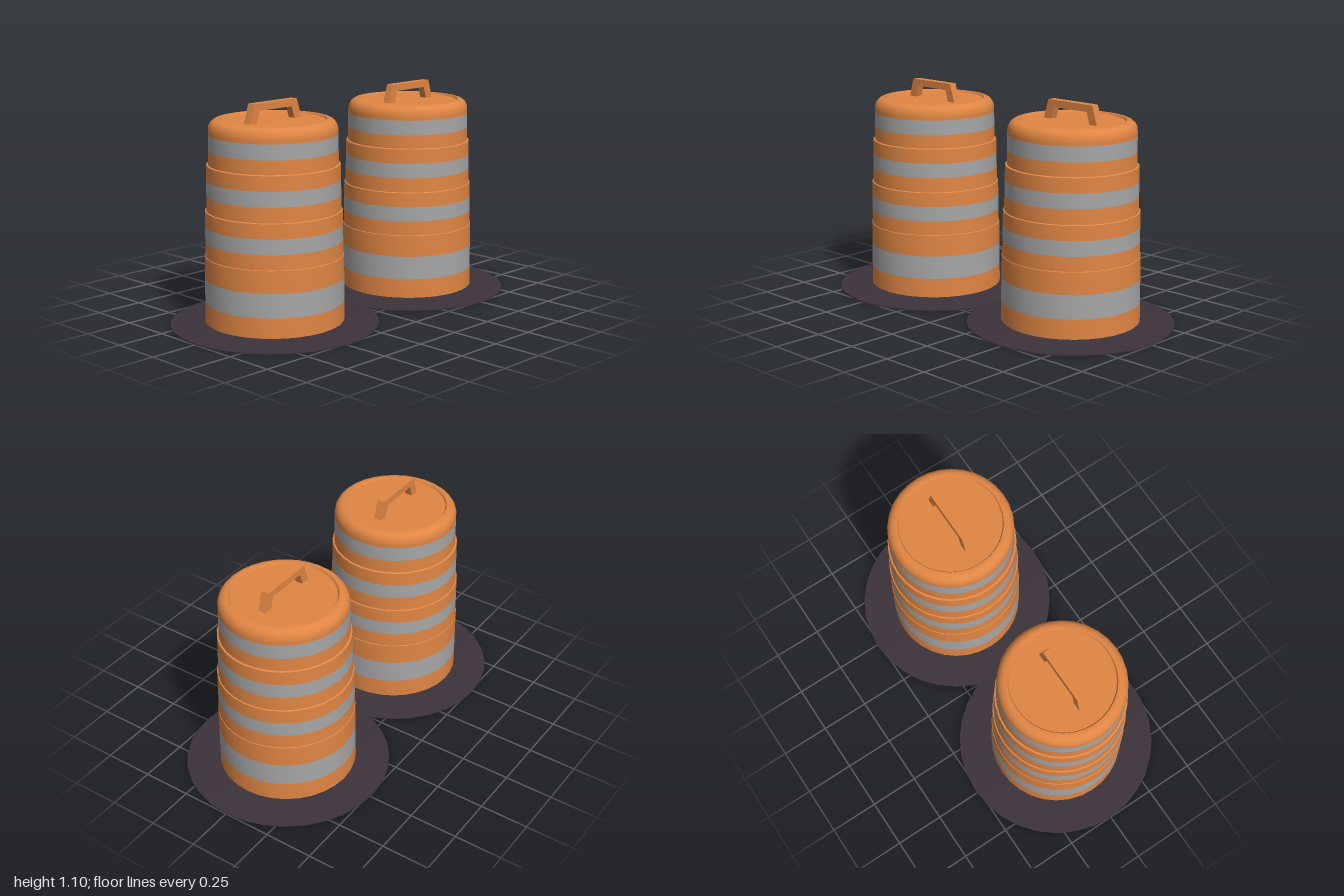
import * as THREE from 'three';
import { toCreasedNormals } from 'three/addons/utils/BufferGeometryUtils.js';

const SEGMENTS = 32;

export function createModel() {
  const orange = new THREE.MeshStandardMaterial({ color: 0xe08644 });
  orange.name = 'orange plastic';
  const grey = new THREE.MeshStandardMaterial({ color: 0xa6a6a6 });
  grey.name = 'reflective grey';
  const rubber = new THREE.MeshStandardMaterial({ color: 0x3c333a });
  rubber.name = 'dark rubber';

  // Turned part from [radius, height] pairs, listed from bottom to top
  function turned(name, profile, material) {
    const points = profile.map(([r, y]) => new THREE.Vector2(r, y));
    const geometry = toCreasedNormals(new THREE.LatheGeometry(points, SEGMENTS), 0.6);
    const mesh = new THREE.Mesh(geometry, material);
    mesh.name = name;
    return mesh;
  }

  // Stacked tiers: bottom, stripe bottom, stripe top, top, and the two radii
  const tiers = [
    { y: [0.015, 0.12, 0.24, 0.35], r: [0.344, 0.341] },
    { y: [0.35, 0.425, 0.5, 0.573], r: [0.338, 0.335] },
    { y: [0.573, 0.65, 0.725, 0.798], r: [0.329, 0.325] },
    { y: [0.798, 0.87, 0.945, 0.965], r: [0.316, 0.314] },
  ];

  function createBarrel() {
    const barrel = new THREE.Group();
    barrel.name = 'barrel';

    // Thin sloping foot with a closed underside
    barrel.add(turned('base', [[0, 0], [0.515, 0], [0.515, 0.006], [0.35, 0.021], [0.3, 0.021]], rubber));

    tiers.forEach(({ y, r }, i) => {
      const at = (h) => [THREE.MathUtils.mapLinear(h, y[0], y[3], r[0], r[1]), h];
      barrel.add(turned('lowerBand', [at(y[0]), at(y[1])], orange));
      barrel.add(turned('stripe', [at(y[1]), at(y[2])], grey));
      // Upper band ends in a small ledge where the next tier starts
      const upper = [at(y[2]), at(y[3])];
      if (i < tiers.length - 1) upper.push([tiers[i + 1].r[0] - 0.002, y[3] + 0.004]);
      barrel.add(turned('upperBand', upper, orange));
    });

    // Rounded rim and shallow sunken lid
    const lid = [];
    for (let i = 0; i <= 6; i++) {
      const a = (i / 6) * Math.PI / 2;
      lid.push([0.269 + 0.045 * Math.cos(a), 0.965 + 0.053 * Math.sin(a)]);
    }
    lid.push([0.262, 1.018], [0.256, 1.008], [0, 1.008]);
    barrel.add(turned('lid', lid, orange));

    // Trapezoid carrying handle, running front to back
    const outline = [
      [-0.172, 1.0], [-0.14, 1.102], [0.14, 1.102], [0.172, 1.0],
      [0.125, 1.0], [0.105, 1.067], [-0.105, 1.067], [-0.125, 1.0],
    ];
    const shape = new THREE.Shape(outline.map(([z, y]) => new THREE.Vector2(z, y)));
    const handleGeometry = new THREE.ExtrudeGeometry(shape, { depth: 0.04, bevelEnabled: false });
    handleGeometry.translate(0, 0, -0.02).rotateY(Math.PI / 2);
    const handle = new THREE.Mesh(handleGeometry, orange);
    handle.name = 'handle';
    barrel.add(handle);
    return barrel;
  }

  const model = new THREE.Group();
  model.name = 'trafficBarrels';
  for (const [name, z] of [['frontBarrel', 0.485], ['backBarrel', -0.485]]) {
    const barrel = createBarrel();
    barrel.name = name;
    barrel.position.z = z;
    model.add(barrel);
  }
  return model;
}
